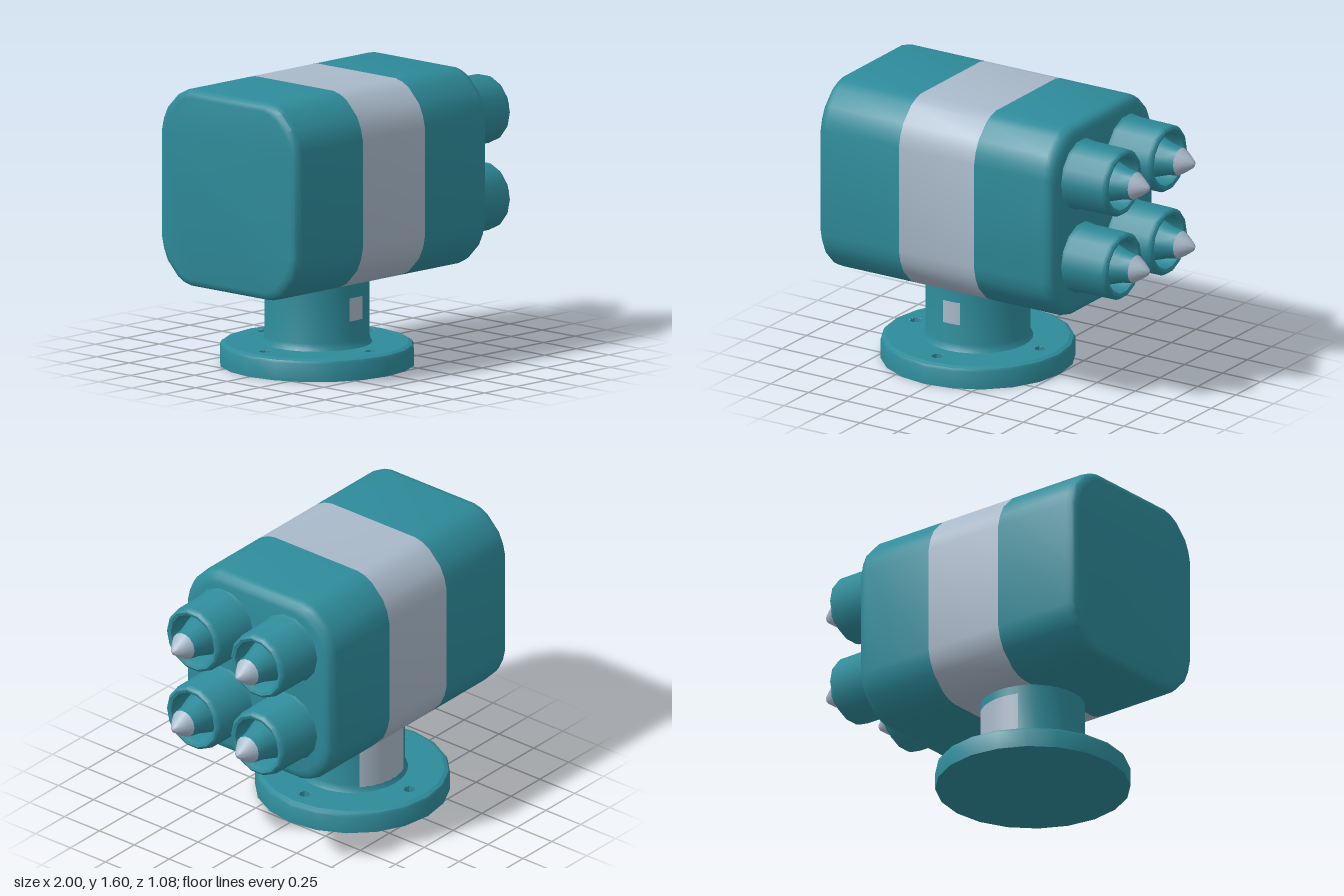
import * as THREE from 'three';
import { toCreasedNormals } from 'three/addons/utils/BufferGeometryUtils.js';

const teal = new THREE.MeshStandardMaterial({ name: 'teal paint', color: 0x2e8b9a });
const grey = new THREE.MeshStandardMaterial({ name: 'pale grey', color: 0xa9b9c9 });

const BASE_X = -0.285;
const BODY_Y = 1.045;

// Rounded-corner section of the launcher box, anticlockwise seen from +x
const quarter = [[0.525, 0.305], [0.51, 0.37], [0.48, 0.435], [0.4, 0.517], [0.35, 0.543], [0.3, 0.555]];
const section = [];
for (const [sz, sy, flip] of [[-1, 1, false], [1, 1, true], [1, -1, false], [-1, -1, true]]) {
  const pts = flip ? [...quarter].reverse() : quarter;
  for (const [z, y] of pts) section.push([sz * z, sy * y]);
}

function mesh(name, geometry, material, parent) {
  const m = new THREE.Mesh(geometry, material);
  m.name = name;
  parent.add(m);
  return m;
}

// Joins copies of the section, each given as [x, inset]; caps either end on request
function loft(stations, capStart, capEnd) {
  const pos = [];
  const idx = [];
  const n = section.length;
  for (const [x, inset] of stations) {
    for (const [z, y] of section) {
      pos.push(x, BODY_Y + y * (1 - inset / 0.555), z * (1 - inset / 0.525));
    }
  }
  for (let s = 0; s < stations.length - 1; s++) {
    for (let i = 0; i < n; i++) {
      const j = (i + 1) % n;
      const a = s * n + i, b = s * n + j, c = b + n, d = a + n;
      idx.push(a, b, c, a, c, d);
    }
  }
  const last = (stations.length - 1) * n;
  for (let i = 1; i < n - 1; i++) {
    if (capStart) idx.push(0, i + 1, i);
    if (capEnd) idx.push(last, last + i, last + i + 1);
  }
  const g = new THREE.BufferGeometry();
  g.setAttribute('position', new THREE.Float32BufferAttribute(pos, 3));
  g.setIndex(idx);
  return toCreasedNormals(g, 0.7);
}

function lathe(points, sides) {
  const g = new THREE.LatheGeometry(points.map(([r, y]) => new THREE.Vector2(r, y)), sides);
  return toCreasedNormals(g, 0.65);
}

// Round foot with four shallow bolt pockets, and the post above it
function addPedestal(root) {
  const pedestal = new THREE.Group();
  pedestal.name = 'pedestal';
  pedestal.position.x = BASE_X;
  root.add(pedestal);

  const sides = 20;
  mesh('footRim', lathe([[0, 0], [0.54, 0], [0.54, 0.1], [0.532, 0.115], [0.51, 0.125]], sides), teal, pedestal);

  const top = new THREE.Shape();
  for (let i = 0; i < sides; i++) {
    const a = (i / sides) * Math.PI * 2;
    top[i ? 'lineTo' : 'moveTo'](0.51 * Math.sin(a), 0.51 * Math.cos(a));
  }
  const pocketGeometry = lathe([[0.034, 0.125], [0.03, 0.085], [0, 0.085]], 8);
  for (let i = 0; i < 4; i++) {
    const a = (i * Math.PI) / 2;
    const x = 0.41 * Math.cos(a), z = 0.41 * Math.sin(a);
    const hole = new THREE.Path();
    hole.absarc(x, z, 0.034, 0, Math.PI * 2, true);
    top.holes.push(hole);
    mesh('boltPocket', pocketGeometry, teal, pedestal).position.set(x, 0, z);
  }
  const plate = mesh('footTop', new THREE.ShapeGeometry(top, 8), teal, pedestal);
  plate.rotation.x = -Math.PI / 2;
  plate.position.y = 0.125;

  mesh('post', lathe([[0.308, 0.122], [0.297, 0.14], [0.29, 0.165], [0.29, 0.53]], 32), teal, pedestal);

  // Painted patches on the front and back of the post
  for (const [name, from, to, low, high] of [['frontPatch', -8, 13, 0.28, 0.41], ['backPatch', 137, 203, 0.15, 0.44]]) {
    const rad = THREE.MathUtils.degToRad;
    const g = new THREE.CylinderGeometry(0.293, 0.293, high - low, 10, 1, true, rad(from), rad(to - from));
    mesh(name, g, grey, pedestal).position.y = (low + high) / 2;
  }
}

// Launcher box: teal ends with rounded edges and a grey middle band
function addBody(root) {
  const rear = [[-1, 0.045], [-0.994, 0.022], [-0.978, 0.006], [-0.945, 0], [-0.465, 0]];
  const front = [[0.03, 0], [0.48, 0], [0.515, 0.009], [0.535, 0.03], [0.543, 0.06]];
  mesh('bodyRear', loft(rear, true, false), teal, root);
  mesh('bodyBand', loft([[-0.465, 0], [0.03, 0]], false, false), grey, root);
  mesh('bodyFront', loft(front, false, true), teal, root);
}

// Four hollow tubes, each holding a pointed rocket
function addTubes(root) {
  const tube = lathe([
    [0.207, 0.535], [0.195, 0.56], [0.193, 0.8], [0.185, 0.82], [0.172, 0.828],
    [0.155, 0.822], [0.146, 0.8], [0.14, 0.66], [0, 0.66],
  ], 14);
  const rocket = lathe([[0.128, 0.66], [0.122, 0.73], [0.09, 0.83], [0.079, 0.9]], 14);
  const tip = lathe([[0.079, 0.9], [0.05, 0.945], [0.022, 0.982], [0, 0.995]], 14);

  for (const y of [0.82, 1.31]) {
    for (const z of [-0.23, 0.23]) {
      const unit = new THREE.Group();
      unit.name = 'launchTube';
      unit.position.set(0, y, z);
      unit.rotation.z = -Math.PI / 2;
      root.add(unit);
      mesh('tube', tube, teal, unit);
      mesh('rocketBody', rocket, teal, unit);
      mesh('rocketTip', tip, grey, unit);
    }
  }
}

export function createModel() {
  const root = new THREE.Group();
  root.name = 'rocketLauncher';
  addPedestal(root);
  addBody(root);
  addTubes(root);
  return root;
}
